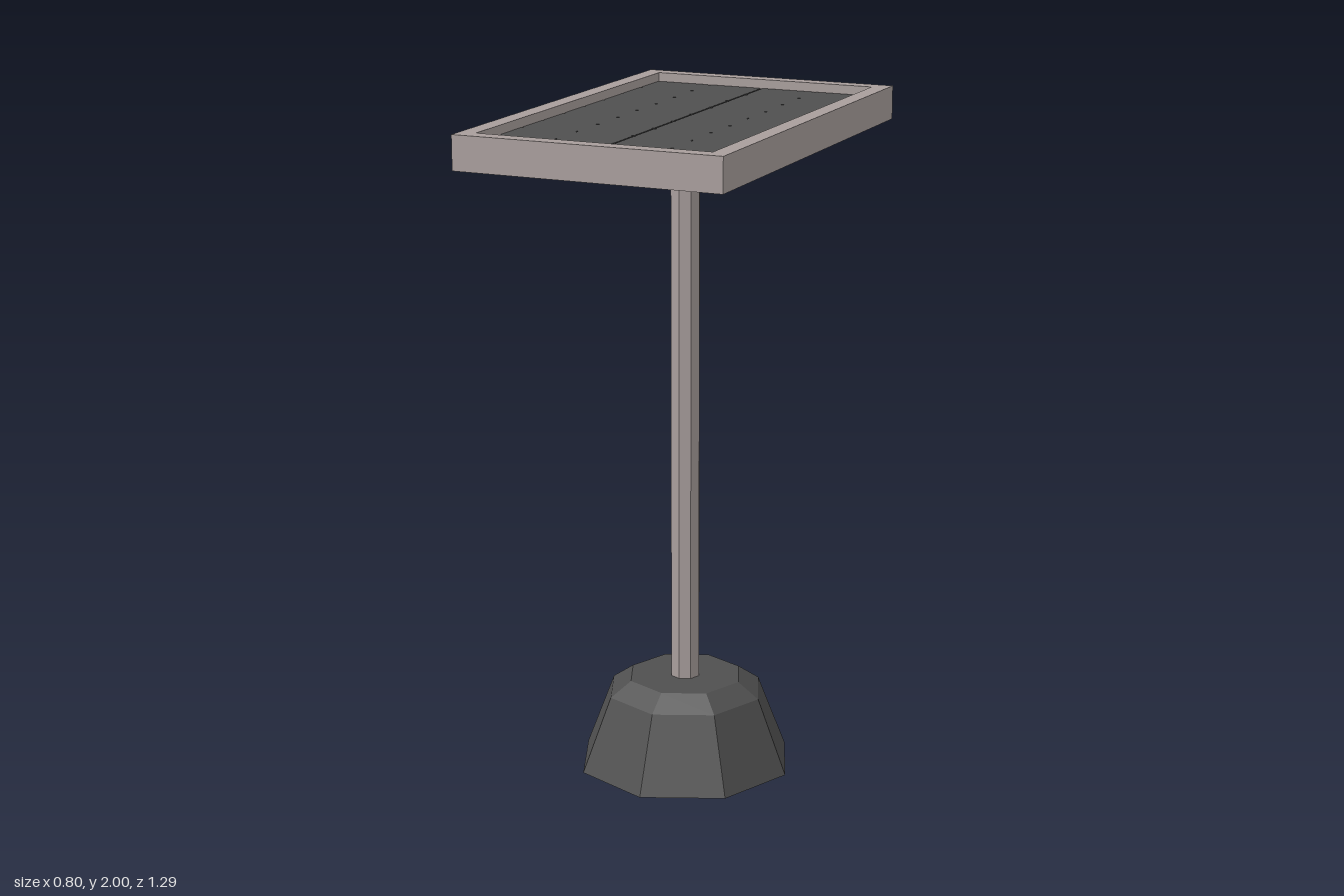
import * as THREE from 'three';

export function createModel() {
  const model = new THREE.Group();
  model.name = 'solarPanelOnPost';

  const frameGrey = new THREE.MeshStandardMaterial({ color: 0xa89e9c, flatShading: true });
  frameGrey.name = 'warm grey frame';
  const charcoal = new THREE.MeshStandardMaterial({ color: 0x4f4f4f, flatShading: true });
  charcoal.name = 'charcoal';

  function add(name, geometry, material, x, y, z, parent = model) {
    const mesh = new THREE.Mesh(geometry, material);
    mesh.name = name;
    mesh.position.set(x, y, z);
    parent.add(mesh);
    return mesh;
  }

  // Flat outline in x/z, extruded upwards from y = 0
  function slab(shape, height) {
    return new THREE.ExtrudeGeometry(shape, { depth: height, bevelEnabled: false }).rotateX(-Math.PI / 2);
  }

  function rectangle(Type, w, d) {
    return new Type([[-w, -d], [w, -d], [w, d], [-w, d]].map(([x, y]) => new THREE.Vector2(x, y)));
  }

  // Eight-sided weighted base with a chamfered shoulder
  const profile = [[0, 0], [0.33, 0], [0.24, 0.23], [0.175, 0.275], [0, 0.275]];
  const base = new THREE.LatheGeometry(profile.map(([r, y]) => new THREE.Vector2(r, y)), 8);
  add('base', base, charcoal, 0.002, 0, -0.007);

  // Eight-sided post
  add('post', new THREE.CylinderGeometry(0.045, 0.045, 1.64, 8, 1, true), frameGrey, 0.002, 1.085, -0.007);

  // Tray: backing plate below a raised rim
  const halfW = 0.4, halfD = 0.643, innerW = 0.35, innerD = 0.595;
  const bottom = 1.9, floor = 1.97;
  const rim = rectangle(THREE.Shape, halfW, halfD);
  rim.holes.push(rectangle(THREE.Path, innerW, innerD));
  add('rim', slab(rim, 2 - bottom), frameGrey, 0, bottom, 0);
  add('backing', new THREE.BoxGeometry(innerW * 2, floor - bottom, innerD * 2), frameGrey, 0, (bottom + floor) / 2, 0);

  // Solar cells with clipped corners, in two halves with a fine gap between
  const columns = 4, rows = 9, pitchX = 0.172, pitchZ = 0.131;
  const w = pitchX / 2, d = pitchZ / 2, clip = 0.006;
  const cell = slab(new THREE.Shape([
    [-w + clip, -d], [w - clip, -d], [w, -d + clip], [w, d - clip],
    [w - clip, d], [-w + clip, d], [-w, d - clip], [-w, -d + clip],
  ].map(([x, y]) => new THREE.Vector2(x, y))), 0.004);
  const cells = new THREE.Group();
  cells.name = 'solarCells';
  model.add(cells);
  for (let i = 0; i < columns; i++) {
    for (let j = 0; j < rows; j++) {
      const gap = i < columns / 2 ? -0.0025 : 0.0025;
      const x = (i - (columns - 1) / 2) * pitchX + gap - 0.003;
      const z = (j - (rows - 1) / 2) * pitchZ;
      add('solarCell', cell, charcoal, x, floor, z, cells);
    }
  }

  return model;
}
